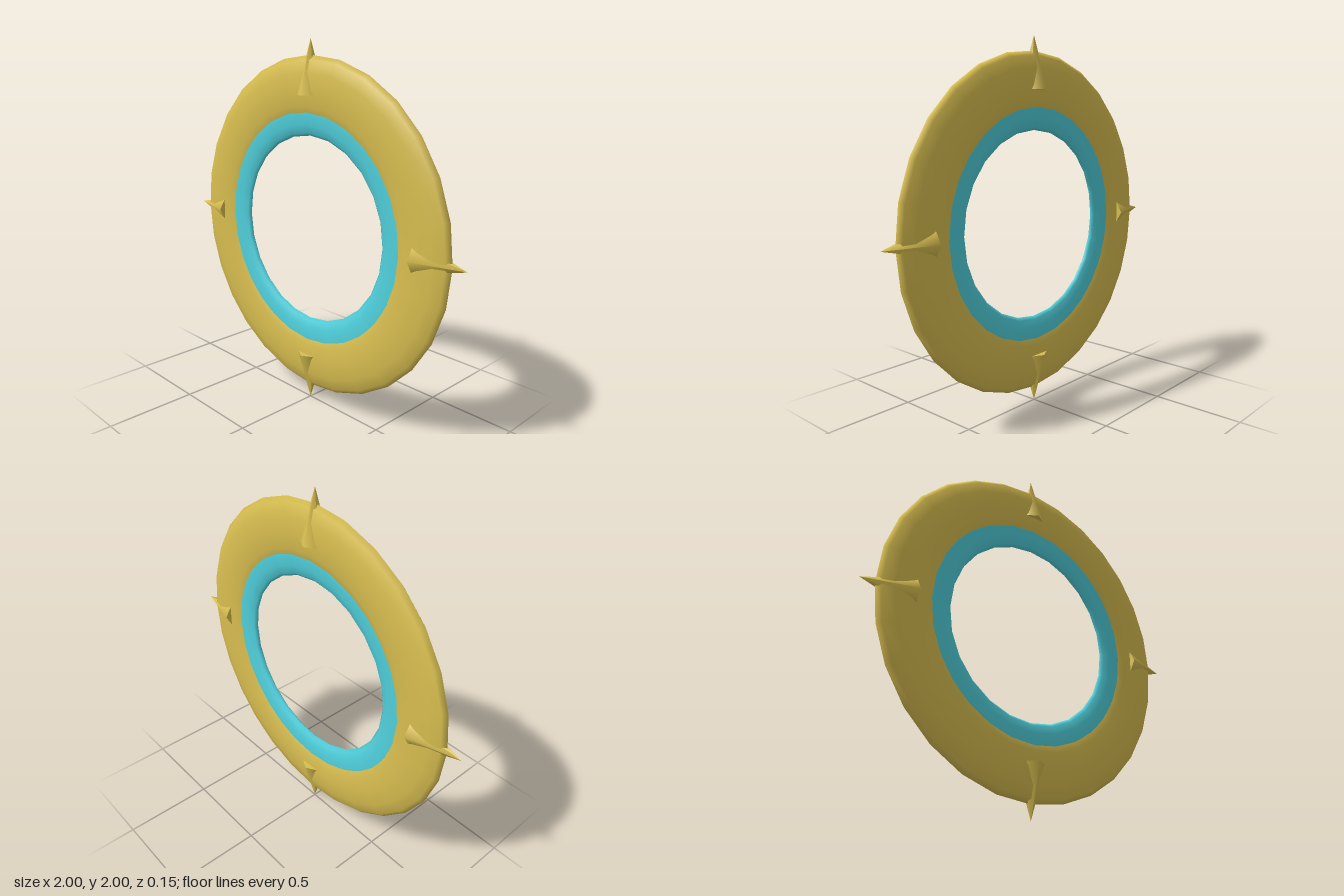
import * as THREE from 'three';

export function createModel() {
  const gold = new THREE.MeshStandardMaterial({ color: 0xd8be50 });
  gold.name = 'gold';
  const cyan = new THREE.MeshStandardMaterial({ color: 0x50d0dc });
  cyan.name = 'cyan';

  const model = new THREE.Group();
  model.name = 'spikedRing';

  // Flattened ring standing upright, centred at y = 1
  function addRing(name, radius, tube, segments, material) {
    const geometry = new THREE.TorusGeometry(radius, tube, 12, segments);
    geometry.scale(1, 1, 0.25);
    const ring = new THREE.Mesh(geometry, material);
    ring.name = name;
    ring.position.y = 1;
    model.add(ring);
  }
  addRing('outerRing', 0.75, 0.17, 28, gold);
  addRing('innerRing', 0.625, 0.115, 24, cyan);

  // Four six-sided spikes pointing outwards through the rim
  const spikeGeometry = new THREE.ConeGeometry(0.076, 0.28, 6);
  spikeGeometry.translate(0, 0.86, 0);
  ['topSpike', 'leftSpike', 'bottomSpike', 'rightSpike'].forEach((name, i) => {
    const spike = new THREE.Mesh(spikeGeometry, gold);
    spike.name = name;
    spike.position.y = 1;
    spike.rotation.z = -i * Math.PI / 2;
    model.add(spike);
  });

  return model;
}
